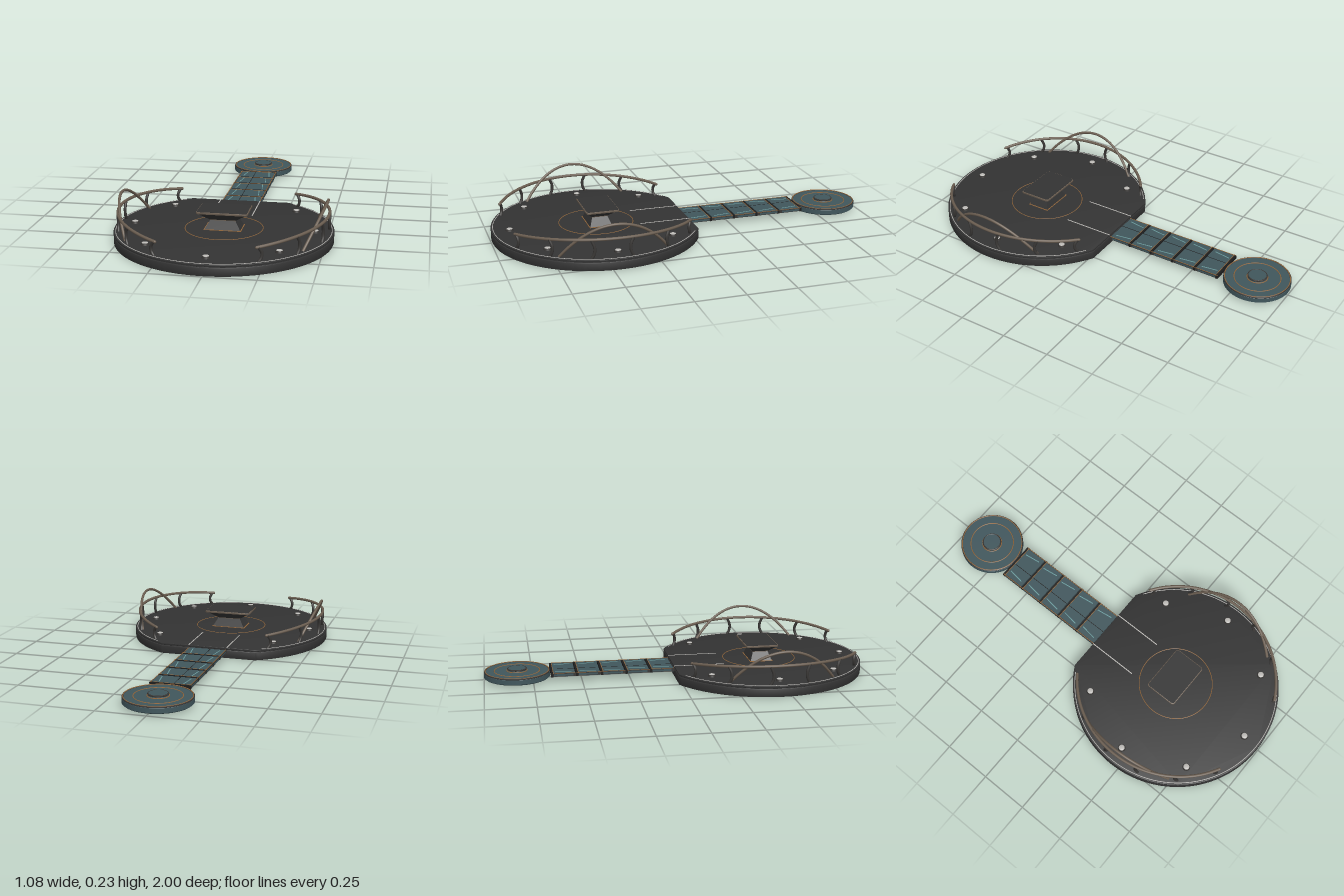
import * as THREE from 'three';
import { toCreasedNormals } from 'three/addons/utils/BufferGeometryUtils.js';

const mat = (name, color) => {
  const m = new THREE.MeshStandardMaterial({ color });
  m.name = name;
  return m;
};

const CZ = 0.455;      // centre of the round deck
const BACK = 0.475;    // distance from the centre to the straight back edge
const PODZ = -0.83;    // centre of the small round platform
const DECK_Y = 0.057;

export function createModel() {
  const model = new THREE.Group();
  model.name = 'platform';
  const charcoal = mat('charcoal', 0x333333);
  const black = mat('black', 0x1d1d1d);
  const teal = mat('teal', 0x40565c);
  const paleTeal = mat('pale teal', 0x6a9a9c);
  const bronze = mat('bronze', 0x6a5d50);
  const copper = mat('copper', 0x94683c);
  const iron = mat('iron', 0x393735);
  const silver = mat('silver', 0xbcbab6);

  const add = (name, geometry, material, x = 0, y = 0, z = 0, parent = model) => {
    const mesh = new THREE.Mesh(geometry, material);
    mesh.name = name;
    mesh.position.set(x, y, z);
    parent.add(mesh);
    return mesh;
  };
  const box = (name, w, h, d, material, x, y, z) =>
    add(name, new THREE.BoxGeometry(w, h, d), material, x, y, z);

  // Flat slab raised from a plan outline, with bevelled edges
  const slab = (name, shape, y0, y1, bevel, material, z) => {
    const geo = new THREE.ExtrudeGeometry(shape, {
      depth: y1 - y0 - 2 * bevel, curveSegments: 96, bevelEnabled: bevel > 0,
      bevelThickness: bevel, bevelSize: bevel, bevelOffset: -bevel, bevelSegments: 2,
    });
    geo.translate(0, 0, bevel).rotateX(-Math.PI / 2);
    add(name, toCreasedNormals(geo, 0.6), material, 0, y0, z);
  };
  // Circle with a straight back edge
  const deckShape = inset => {
    const r = 0.54 - inset;
    const half = Math.acos((BACK - inset) / r);
    const shape = new THREE.Shape();
    shape.absarc(0, 0, r, Math.PI / 2 + half, Math.PI * 2.5 - half, false);
    shape.closePath();
    return shape;
  };
  const roundedRect = (w, d, r) => {
    const shape = new THREE.Shape();
    [[1, 1], [-1, 1], [-1, -1], [1, -1]].forEach(([sx, sy], i) =>
      shape.absarc(sx * (w / 2 - r), sy * (d / 2 - r), r, i * Math.PI / 2, (i + 1) * Math.PI / 2, false));
    shape.closePath();
    return shape;
  };
  slab('deckBase', deckShape(0), 0, 0.044, 0.004, charcoal, CZ);
  slab('deckGroove', deckShape(0.008), 0.04, 0.05, 0, black, CZ);
  slab('deckTop', deckShape(0), 0.046, DECK_Y, 0.003, charcoal, CZ);

  // Flat-lying inlaid rings
  const ring = (name, r, tube, material, y, z, start = 0, sweep = Math.PI * 2) => {
    const geo = new THREE.TorusGeometry(r, tube, 6, 96, sweep);
    geo.rotateZ(start).rotateX(Math.PI / 2);
    add(name, geo, material, 0, y, z);
  };
  ring('deckEdgeTrim', 0.53, 0.002, silver, DECK_Y, CZ, -1.0, Math.PI + 2.0);
  ring('deckCentreRing', 0.192, 0.002, copper, DECK_Y, CZ);

  // Deck lamps around the edge, none at the walkway: dark body, pale lens
  for (let i = -1; i <= 5; i++) {
    const a = i * Math.PI / 4;
    const x = 0.45 * Math.cos(a), z = CZ + 0.45 * Math.sin(a);
    add('lampBody', new THREE.CylinderGeometry(0.017, 0.02, 0.01, 20), iron, x, DECK_Y + 0.005, z);
    const dome = new THREE.SphereGeometry(0.0155, 16, 6, 0, Math.PI * 2, 0, Math.PI / 2);
    add('lampLens', dome, silver, x, DECK_Y + 0.01, z).scale.y = 0.25;
  }

  // Central console: two tapered blocks and a rounded top plate
  const frustum = (name, bx, tx, depthRatio, y0, y1) => {
    const geo = new THREE.CylinderGeometry(tx * Math.SQRT2, bx * Math.SQRT2, y1 - y0, 4);
    geo.rotateY(Math.PI / 4).scale(1, 1, depthRatio);
    add(name, toCreasedNormals(geo, 0.4), charcoal, 0, (y0 + y1) / 2, 0.449);
  };
  frustum('consoleFoot', 0.09, 0.062, 0.64, DECK_Y, 0.105);
  frustum('consoleFlare', 0.062, 0.118, 0.65, 0.105, 0.143);
  slab('consoleLip', roundedRect(0.254, 0.172, 0.014), 0.141, 0.152, 0.003, bronze, 0.445);
  slab('consoleTop', roundedRect(0.246, 0.164, 0.011), 0.15, 0.153, 0, charcoal, 0.445);
  box('consoleFootTrim', 0.186, 0.003, 0.121, copper, 0, DECK_Y + 0.001, 0.449);
  box('consoleNeckTrim', 0.128, 0.003, 0.084, bronze, 0, 0.105, 0.449);

  // Railings, mirrored left and right
  const onRim = (side, deg, y, r = 0.516) => {
    const a = THREE.MathUtils.degToRad(deg);
    return new THREE.Vector3(side * r * Math.cos(a), y, CZ + r * Math.sin(a));
  };
  const railHeight = deg => {
    const t = (deg - 4) / 59;
    return 0.152 - 0.029 * t * t;
  };
  const tube = (name, points, r, material, parent, steps) => {
    const curve = new THREE.CatmullRomCurve3(points);
    add(name, new THREE.TubeGeometry(curve, steps, r, 10), material, 0, 0, 0, parent);
  };
  for (const side of [1, -1]) {
    const railing = new THREE.Group();
    railing.name = side > 0 ? 'leftRailing' : 'rightRailing';
    model.add(railing);

    const rail = [], arch = [];
    const low = Math.cos(THREE.MathUtils.degToRad(32));
    for (let i = 0; i <= 20; i++) {
      const deg = 63 - i * 5.85;
      rail.push(onRim(side, deg, railHeight(deg)));
      const archDeg = 32 - i * 3.2;
      const rise = (Math.cos(THREE.MathUtils.degToRad(archDeg)) - low) / (1 - low);
      arch.push(onRim(side, archDeg + 2, 0.055 + 0.165 * rise, 0.509));
    }
    tube('handrail', rail, 0.0075, bronze, railing, 80);
    tube('arch', arch, 0.007, bronze, railing, 80);
    for (const p of [rail[0], rail[20]])
      add('handrailEnd', new THREE.SphereGeometry(0.0075, 10, 8), bronze, p.x, p.y, p.z, railing);

    // Posts bowed along the rail towards its middle
    for (let i = 0; i < 6; i++) {
      const deg = 62 - i * 23;
      const bow = deg > 4 ? -1 : 1;
      const top = railHeight(deg), h = top - DECK_Y;
      tube('post', [
        onRim(side, deg, DECK_Y - 0.003),
        onRim(side, deg + bow * 1.5, DECK_Y + h * 0.25),
        onRim(side, deg + bow * 1.7, DECK_Y + h * 0.6),
        onRim(side, deg, top),
      ], 0.0075, iron, railing, 16);
    }

    // Guide strip on the deck continuing the walkway edge
    box('deckGuideStrip', 0.005, 0.003, 0.265, silver, side * 0.105, DECK_Y, 0.1125);
    // Walkway edge: dark kerb with a copper line on top
    box('walkwayKerb', 0.007, 0.016, 0.64, iron, side * 0.0995, 0.037, -0.34);
    box('walkwayEdgeLine', 0.003, 0.002, 0.64, copper, side * 0.1, 0.0455, -0.34);
  }

  // Walkway of five plates with dark joints
  const pitch = 0.128;
  for (let i = 0; i < 5; i++) {
    const z = -0.02 - pitch * (i + 0.5), end = z - pitch / 2 + 0.006;
    box('walkwayPlate', 0.196, 0.018, pitch - 0.008, teal, 0, 0.036, z);
    box('walkwayJoint', 0.207, 0.019, 0.012, black, 0, 0.0365, end);
    box('walkwayJointTrim', 0.209, 0.002, 0.003, copper, 0, 0.0458, end + 0.006);
    box('walkwaySeam', 0.003, 0.001, pitch - 0.008, black, -0.016, 0.0452, z);
    for (const side of [1, -1]) {
      box('walkwaySide', 0.002, 0.01, 0.1, teal, side * 0.1025, 0.037, z);
      box('walkwayMarking', 0.005, 0.002, 0.085, paleTeal, side * 0.068, 0.0453, z).rotation.y = side * 0.14;
    }
  }

  // Round platform at the far end with a raised hub
  const profile = [[0, 0.01], [0.164, 0.01], [0.17, 0.015], [0.17, 0.038], [0.165, 0.043], [0, 0.043]]
    .map(([x, y]) => new THREE.Vector2(x, y));
  add('endPlatform', toCreasedNormals(new THREE.LatheGeometry(profile, 64), 0.5), teal, 0, 0, PODZ);
  add('endHub', new THREE.CylinderGeometry(0.046, 0.05, 0.013, 40), teal, 0, 0.0495, PODZ);
  ring('endEdgeRim', 0.165, 0.005, iron, 0.041, PODZ);
  ring('endEdgeTrim', 0.164, 0.0025, copper, 0.0445, PODZ);
  ring('endMiddleTrim', 0.117, 0.0025, copper, 0.043, PODZ);
  ring('endHubRim', 0.047, 0.004, iron, 0.053, PODZ);
  ring('endHubTrim', 0.052, 0.0025, copper, 0.044, PODZ);
  return model;
}
